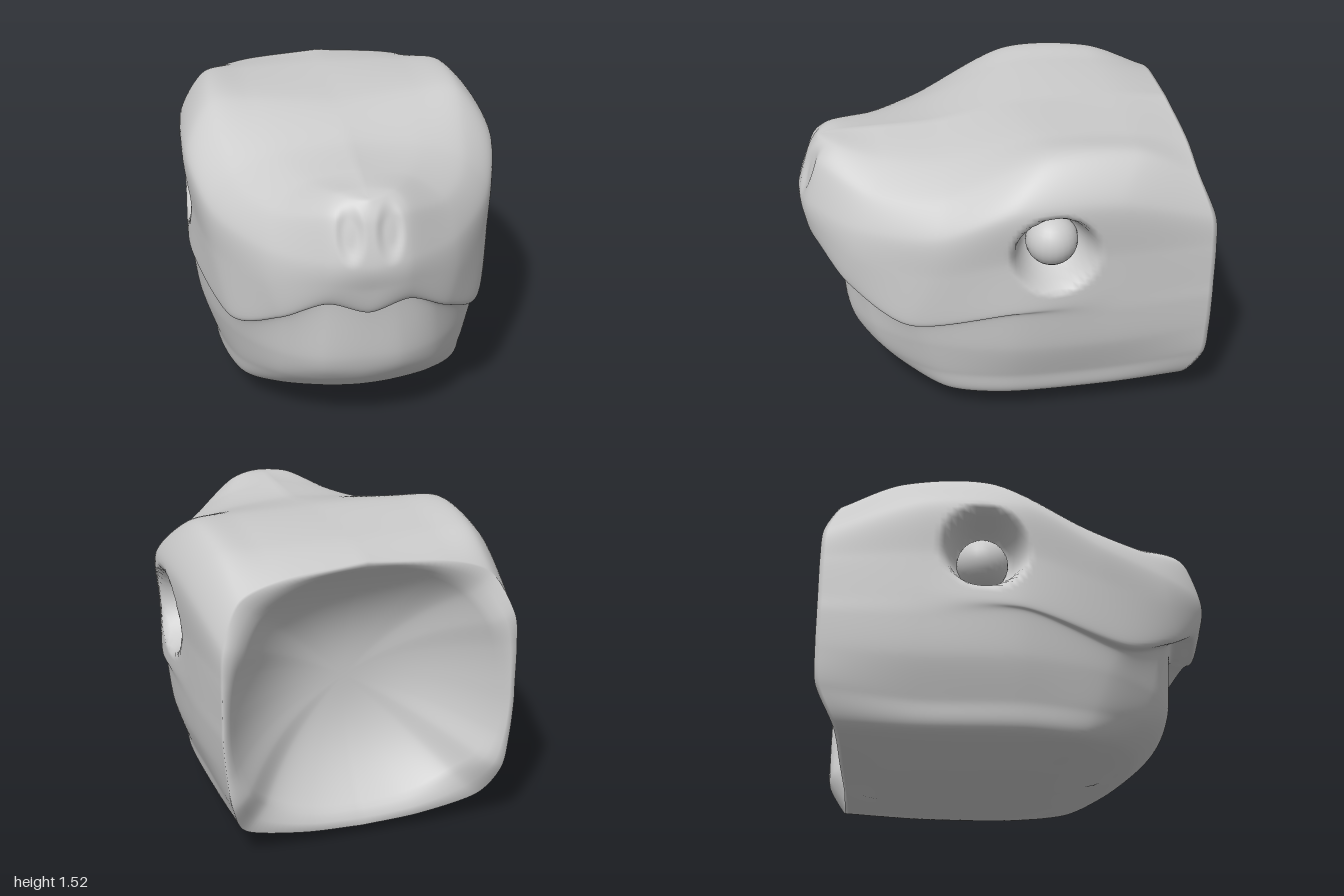
import * as THREE from 'three';
import { mergeVertices } from 'three/addons/utils/BufferGeometryUtils.js';

const EYE = { y: 1.04, z: -0.19 };

// Guide lines for one half, each running from the open neck to the tip of the snout
const guides = {
  spine: [[0, 1.46, -.9], [0, 1.49, -.6], [0, 1.48, -.1], [0, 1.41, .3], [0, 1.4, .6], [0, 1.395, .78], [0, 1.385, .86]],
  crown: [[.4, 1.42, -.91], [.42, 1.485, -.6], [.42, 1.495, -.15], [.36, 1.37, .3], [.26, 1.35, .58], [.14, 1.38, .81], [0, 1.37, .895]],
  brow: [[.62, 1.34, -.92], [.64, 1.475, -.6], [.65, 1.485, -.15], [.58, 1.28, .33], [.42, 1.24, .65], [.19, 1.3, .89], [0, 1.28, .945]],
  temple: [[.72, 1.15, -.99], [.785, 1.29, -.5], [.795, 1.28, 0], [.69, 1.12, .38], [.46, 1.08, .74], [.2, 1.1, .96], [0, 1.08, 1]],
  cheek: [[.735, .98, -1], [.775, 1, -.5], [.78, 1, 0], [.69, .9, .4], [.47, .92, .76], [.2, .98, .96], [0, .95, .98]],
  lip: [[.735, .78, -1], [.77, .78, -.5], [.785, .74, 0], [.64, .62, .5], [.42, .74, .79], [.2, .86, .92], [0, .81, .94]],
  underLip: [[.735, .68, -1], [.763, .66, -.5], [.765, .69, 0], [.6, .58, .48], [.38, .7, .72], [.18, .83, .8], [0, .8, .82]],
  jaw: [[.72, .5, -1], [.738, .47, -.5], [.735, .47, 0], [.6, .45, .42], [.4, .45, .66], [.2, .46, .77], [0, .46, .79]],
  chin: [[.69, .32, -.99], [.672, .27, -.5], [.672, .27, 0], [.58, .27, .36], [.4, .3, .6], [.2, .32, .71], [0, .32, .735]],
  jawCorner: [[.6, .14, -.9], [.615, .125, -.5], [.615, .125, 0], [.54, .13, .3], [.38, .17, .48], [.18, .2, .59], [0, .2, .61]],
  belly: [[.3, .07, -.88], [.32, .03, -.5], [.32, .03, -.05], [.28, .07, .22], [.18, .11, .37], [.08, .13, .45], [0, .14, .48]],
  keel: [[0, .05, -.87], [0, 0, -.65], [0, 0, -.1], [0, .03, .1], [0, .06, .25], [0, .09, .35], [0, .1, .4]],
};

const curve = (pts) => new THREE.CatmullRomCurve3(pts, false, 'catmullrom', 0.42);

// Mirror a half guide into a full U around the snout
function fullGuide(half) {
  const right = half.map((p) => new THREE.Vector3(...p));
  const left = right.slice(0, -1).reverse().map((p) => new THREE.Vector3(-p.x, p.y, p.z));
  return curve([...right, ...left]);
}

// Press in the eye sockets and the nostrils
function sculpt(p) {
  const r = Math.hypot(p.y - EYE.y, p.z - EYE.z);
  if (Math.abs(p.x) > 0.5 && r < 0.225) {
    p.x -= Math.sign(p.x) * 0.2 * (1 - THREE.MathUtils.smoothstep(r, 0.12, 0.225));
  }
  if (p.z > 0.8 && p.y > 1) {
    const n = Math.hypot((Math.abs(p.x) - 0.095) / 0.07, (p.y - 1.23) / 0.14);
    p.z -= 0.02 * (1 - THREE.MathUtils.smoothstep(n, 0.4, 1.1));
  }
  return p;
}

// Neck hollow below one rim point: a rounded lip, then a shallow dish
function hollowProfile(p) {
  const midY = 0.75, floorZ = -0.58, rings = 24;
  const x = p.x, y = p.y - midY;
  // Rounded opening that nearly touches the rim except at its corners
  const norm = Math.pow(Math.abs(x / 0.69) ** 2.5 + Math.abs(y / (y > 0 ? 0.66 : 0.62)) ** 2.5, 1 / 2.5);
  const open = Math.min(0.95, 1 / norm);
  const profile = [p.clone(), new THREE.Vector3(x * (1 + open) / 2, midY + y * (1 + open) / 2, p.z + 0.005)];
  const angle = Math.atan2(y, x);
  for (let k = 0; k <= rings; k++) {
    const s = 1 - k / rings, round = 1 - s;
    const ox = THREE.MathUtils.lerp(x * open, 0.66 * Math.cos(angle), round);
    const oy = THREE.MathUtils.lerp(y * open, 0.66 * Math.sin(angle), round);
    profile.push(new THREE.Vector3(ox * s, midY + oy * s, THREE.MathUtils.lerp(floorZ, p.z + 0.03, s ** 2.5)));
  }
  return profile;
}

// Join a grid of points (rows of equal length) into triangles
function addGrid(grid, positions, indices) {
  const base = positions.length / 3, n = grid[0].length;
  grid.flat().forEach((p) => positions.push(p.x, p.y, p.z));
  for (let i = 0; i < grid.length - 1; i++) {
    for (let j = 0; j < n - 1; j++) {
      const a = base + i * n + j, b = a + n;
      indices.push(a, b, a + 1, b, b + 1, a + 1);
    }
  }
}

function headGeometry() {
  const lines = Object.values(guides).map(fullGuide);
  const U = 216, V = 121;
  const skin = [];
  for (let i = 0; i <= U; i++) {
    const section = curve(lines.map((l) => l.getPoint(i / U)));
    skin.push(Array.from({ length: V + 1 }, (_, j) => sculpt(section.getPoint(j / V))));
  }
  const rim = [...skin[0], ...skin[U].slice(0, -1).reverse()];

  const positions = [], indices = [];
  addGrid(skin, positions, indices);
  addGrid(rim.map(hollowProfile), positions, indices);
  const g = new THREE.BufferGeometry();
  g.setAttribute('position', new THREE.Float32BufferAttribute(positions, 3));
  g.setIndex(indices);
  const merged = mergeVertices(g, 1e-4);
  merged.computeVertexNormals();
  return merged;
}

export function createModel() {
  const group = new THREE.Group();
  const material = new THREE.MeshStandardMaterial({ color: 0xcccccc });

  const head = new THREE.Mesh(headGeometry(), material);
  head.name = 'head';
  group.add(head);

  // Eyeballs set into the sockets
  for (const side of [1, -1]) {
    const eye = new THREE.Mesh(new THREE.SphereGeometry(0.13, 24, 16), material);
    eye.name = side > 0 ? 'leftEye' : 'rightEye';
    eye.position.set(side * 0.61, EYE.y - 0.01, EYE.z - 0.01);
    group.add(eye);
  }
  return group;
}
